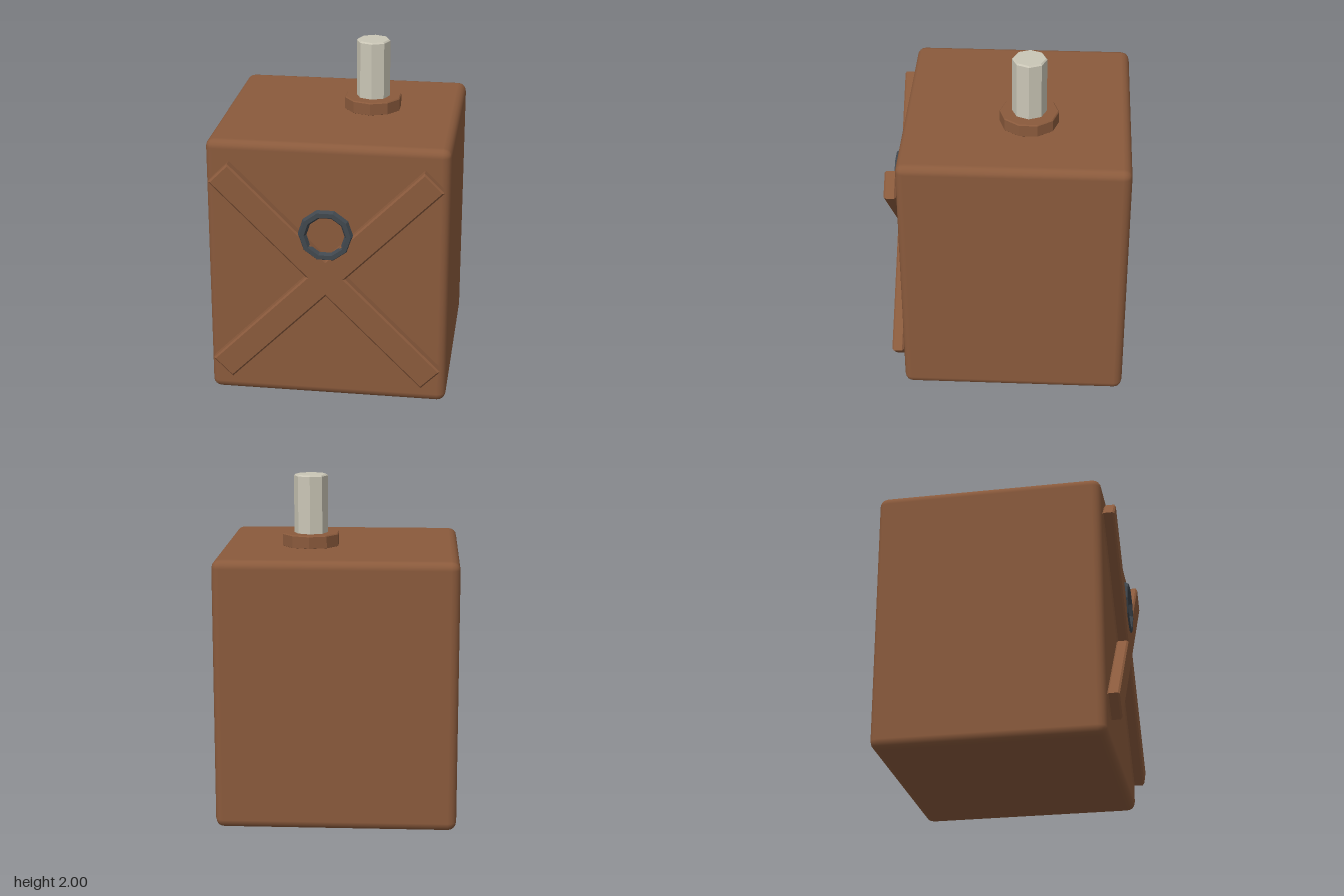
import * as THREE from 'three';
import { RoundedBoxGeometry } from 'three/addons/geometries/RoundedBoxGeometry.js';

export function createModel() {
  const group = new THREE.Group();
  const makeMaterial = (name, color) => {
    const material = new THREE.MeshStandardMaterial({ color });
    material.name = name;
    return material;
  };
  const brown = makeMaterial('woodBrown', 0x8a5a3c);
  const ivory = makeMaterial('paleIvory', 0xcac6b6);
  const iron = makeMaterial('darkIron', 0x40474e);

  const add = (name, geometry, material, x, y, z) => {
    const mesh = new THREE.Mesh(geometry, material);
    mesh.name = name;
    mesh.position.set(x, y, z);
    group.add(mesh);
    return mesh;
  };

  // Faceted copy of a geometry, with one normal per face
  const facet = (geometry) => {
    const flat = geometry.index ? geometry.toNonIndexed() : geometry;
    flat.computeVertexNormals();
    return flat;
  };

  // Faceted solid post with chamfered ends, standing on y = 0
  const post = (radius, height, sides, bevel) => facet(new THREE.LatheGeometry([
    [0, 0], [radius - bevel, 0], [radius, bevel],
    [radius, height - bevel], [radius - bevel, height], [0, height],
  ].map(([x, y]) => new THREE.Vector2(x, y)), sides));

  // Crate body with softly rounded edges
  add('body', new RoundedBoxGeometry(1.4, 1.58, 1.32, 2, 0.05), brown, 0, 0.79, -0.04);

  // Diagonal planks joined in one cross, built upright and turned by 45 degrees
  const bevel = 0.01;
  const halfLength = 0.87 - bevel;
  const halfWidth = 0.08 - bevel;
  const outline = [];
  for (let i = 0; i < 4; i++) {
    const turn = Math.PI / 4 + i * Math.PI / 2;
    for (const [x, y] of [[halfLength, -halfWidth], [halfLength, halfWidth], [halfWidth, halfWidth]]) {
      outline.push(new THREE.Vector2(x, y).rotateAround(new THREE.Vector2(), turn));
    }
  }
  const cross = new THREE.ExtrudeGeometry(new THREE.Shape(outline), {
    depth: 0.07 - 2 * bevel, bevelEnabled: true, bevelSize: bevel, bevelThickness: bevel, bevelSegments: 1,
  });
  add('crossPlanks', cross, brown, 0, 0.795, 0.622 + bevel);

  // Ring on the front
  add('frontRing', facet(new THREE.TorusGeometry(0.135, 0.026, 6, 10)), iron, 0, 1.06, 0.678);

  // Collar and peg on the lid
  add('pegCollar', post(0.172, 0.08, 10, 0.006), brown, 0.175, 1.575, -0.11);
  add('peg', post(0.1, 0.36, 8, 0.008), ivory, 0.175, 1.64, -0.11);

  return group;
}
